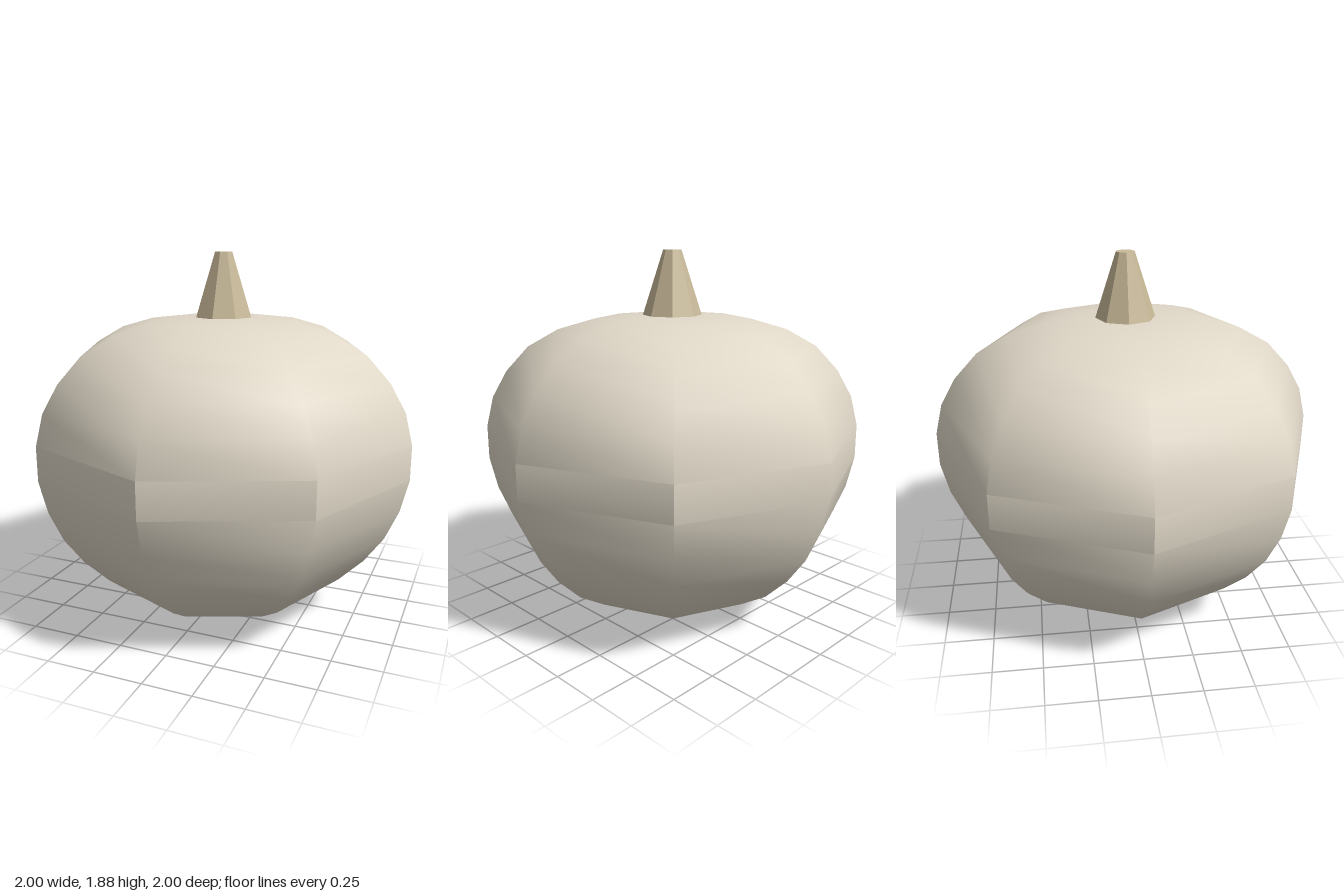
import * as THREE from 'three';
import { toCreasedNormals } from 'three/addons/utils/BufferGeometryUtils.js';

const SIDES = 8;

// Half outline of the gourd as [radius, height], from the base to the crown
const OUTLINE = [
  [0, 0], [0.17, 0.006], [0.35, 0.03], [0.51, 0.085], [0.66, 0.18], [0.79, 0.31],
  [0.89, 0.45], [0.96, 0.61], [1, 0.78], [1, 0.96], [0.96, 1.12], [0.88, 1.26],
  [0.76, 1.39], [0.6, 1.48], [0.41, 1.535], [0.22, 1.555], [0, 1.557],
];

export function createModel() {
  const model = new THREE.Group();
  model.name = 'pumpkin';

  // Eight-sided body: smooth, with short creases left around the widest band
  const lathe = new THREE.LatheGeometry(OUTLINE.map(([r, y]) => new THREE.Vector2(r, y)), SIDES);
  const body = new THREE.Mesh(
    toCreasedNormals(lathe, THREE.MathUtils.degToRad(44.6)),
    new THREE.MeshStandardMaterial({ color: 0xe0d8c8 }),
  );
  body.name = 'body';
  model.add(body);

  // Tapered, faceted stem standing on the crown
  const bottom = 1.55, top = 1.885;
  const stem = new THREE.Mesh(
    new THREE.CylinderGeometry(0.047, 0.155, top - bottom, SIDES),
    new THREE.MeshStandardMaterial({ color: 0xc8b998, flatShading: true }),
  );
  stem.position.y = (bottom + top) / 2;
  stem.name = 'stem';
  model.add(stem);

  return model;
}
